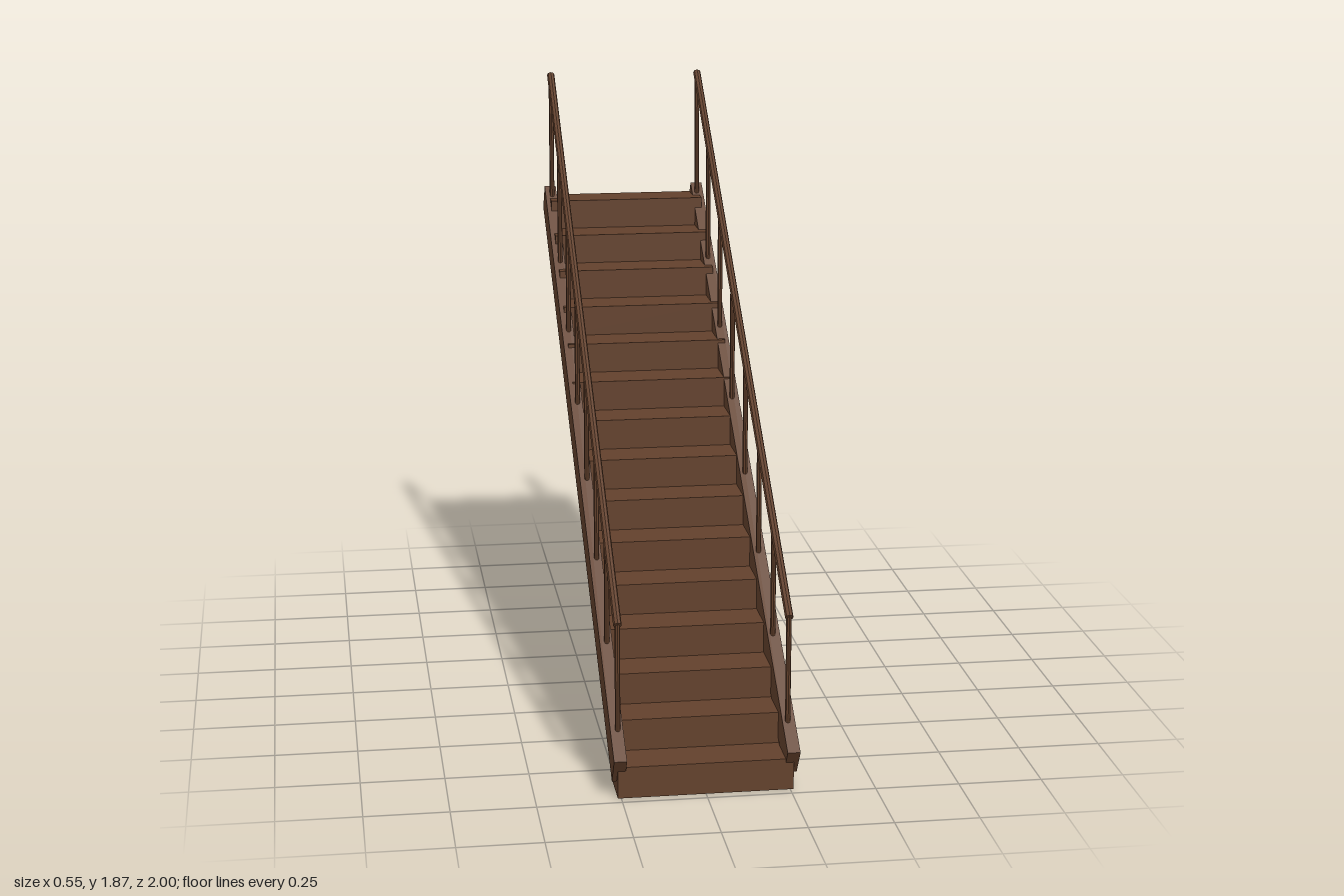
import * as THREE from 'three';

const STEPS = 15, RISE = 1.435 / STEPS, RUN = 1.94 / STEPS, RAIL_HEIGHT = 0.42;

export function createModel() {
  const model = new THREE.Group();
  model.name = 'staircase';
  const wood = new THREE.MeshStandardMaterial({ color: 0x63412c });
  wood.name = 'brown wood';
  wood.flatShading = true;

  const add = (parent, name, geometry, x, y, z, tilt = 0) => {
    const mesh = new THREE.Mesh(geometry, wood);
    mesh.name = name;
    mesh.position.set(x, y, z);
    mesh.rotation.x = tilt;
    parent.add(mesh);
    return mesh;
  };
  const stepZ = (i) => 0.97 - RUN * (i + 0.5);
  const stepTop = (i) => RISE * (i + 1);

  // Solid block steps, climbing towards the back
  const steps = new THREE.Group();
  steps.name = 'steps';
  model.add(steps);
  const stepGeometry = new THREE.BoxGeometry(0.52, RISE, RUN);
  for (let i = 0; i < STEPS; i++) {
    add(steps, 'step', stepGeometry, 0, stepTop(i) - RISE / 2, stepZ(i));
  }

  // Each side: sloping stringer, posts on every second step, handrail
  const stringerGeometry = new THREE.BoxGeometry(0.038, 0.101, 2.36);
  const postGeometry = new THREE.CylinderGeometry(0.008, 0.008, RAIL_HEIGHT, 8);
  const slope = Math.atan2(RISE, RUN);
  const last = STEPS - 1;
  const railLength = Math.hypot(RISE * last, RUN * last) + 0.014;
  const railGeometry = new THREE.CylinderGeometry(0.0125, 0.0125, railLength, 8);
  railGeometry.rotateX(Math.PI / 2);

  for (const side of [1, -1]) {
    const group = new THREE.Group();
    group.name = side > 0 ? 'leftSide' : 'rightSide';
    model.add(group);
    add(group, 'stringer', stringerGeometry, side * 0.255, 0.756, 0, Math.atan2(1.345, 1.94));
    for (let i = 0; i < STEPS; i += 2) {
      add(group, 'post', postGeometry, side * 0.252, stepTop(i) + RAIL_HEIGHT / 2, stepZ(i));
    }
    const mid = last / 2;
    add(group, 'handrail', railGeometry, side * 0.252, stepTop(mid) + RAIL_HEIGHT, stepZ(mid), slope);
  }
  return model;
}
